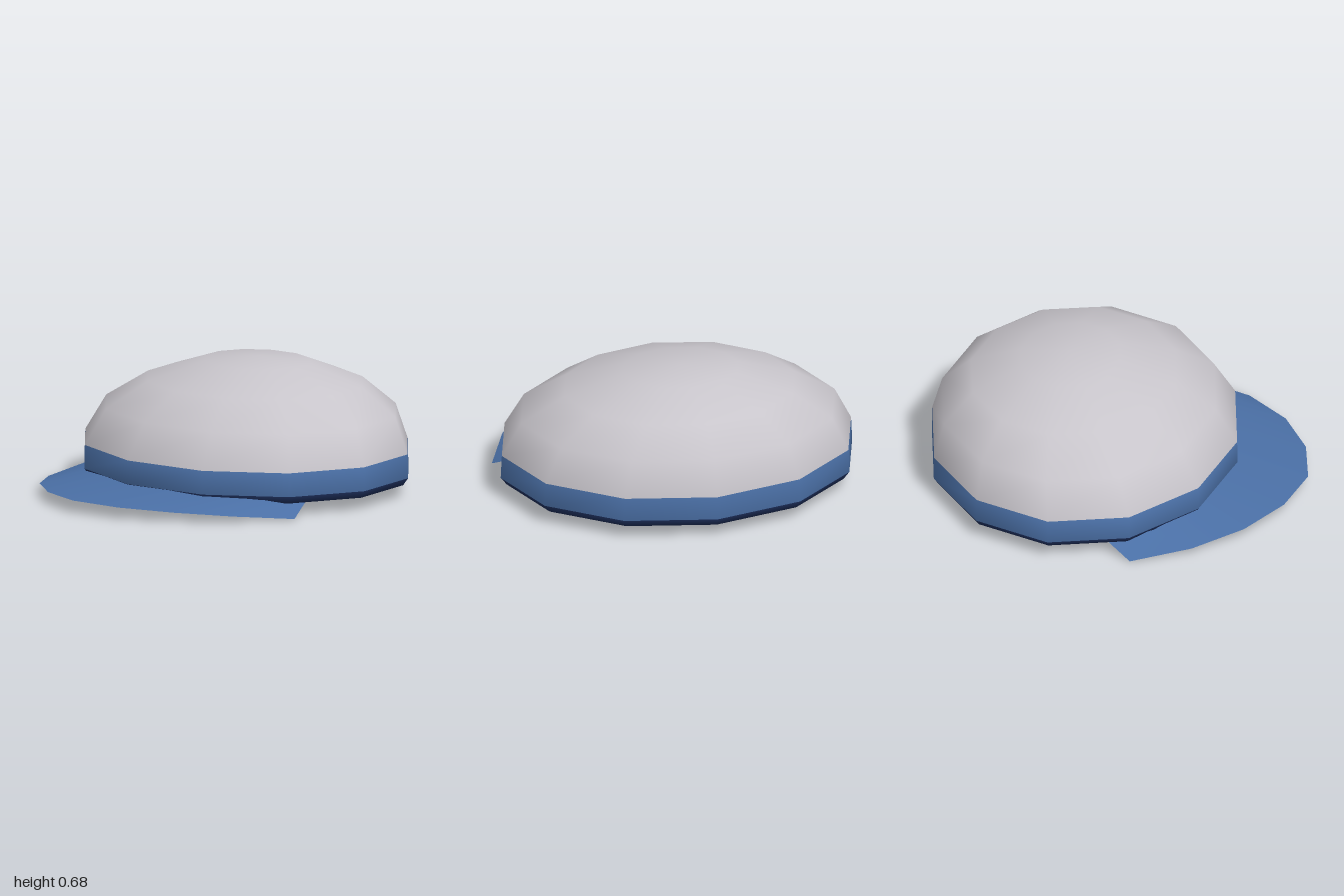
import * as THREE from 'three';

const mat = (name, color, side = THREE.FrontSide) => {
  const m = new THREE.MeshStandardMaterial({ color, side });
  m.name = name;
  return m;
};

// Joins rows of points (equal length) with quads; rows run along the surface.
function loft(rows, groupOf) {
  const n = rows[0].length;
  const geo = new THREE.BufferGeometry();
  geo.setAttribute('position', new THREE.Float32BufferAttribute(rows.flat(2), 3));
  const index = [];
  for (let r = 0; r < rows.length - 1; r++) {
    const start = index.length;
    for (let i = 0; i < n - 1; i++) {
      const a = r * n + i, b = a + 1, c = a + n, d = c + 1;
      index.push(a, b, d, a, d, c);
    }
    if (groupOf) geo.addGroup(start, index.length - start, groupOf(r));
  }
  geo.setIndex(index);
  geo.computeVertexNormals();
  return geo;
}

export function createModel() {
  const grey = mat('crownGrey', 0xc8c5cb);
  const blue = mat('bandBlue', 0x4a6fa5);
  const navy = mat('undersideNavy', 0x1c2d58);
  const brimBlue = mat('brimBlue', 0x4a6fa5, THREE.DoubleSide);
  brimBlue.color = blue.color;

  const cap = new THREE.Group();
  cap.name = 'cap';

  // Shell: elliptical 12-sided rings [y, x radius, z radius, z centre], bottom to top
  const SIDES = 12;
  const rings = [
    [0.065, 0, 0, -0.19],
    [0.065, 0.915, 0.785, -0.19],
    [0.105, 0.948, 0.812, -0.187],
    [0.23, 0.942, 0.81, -0.187],
    [0.415, 0.845, 0.727, -0.217],
    [0.555, 0.62, 0.545, -0.245],
    [0.655, 0.31, 0.265, -0.265],
    [0.675, 0, 0, -0.27],
  ];
  const rows = rings.map(([y, rx, rz, cz]) =>
    Array.from({ length: SIDES + 1 }, (_, i) => {
      const a = (i / SIDES) * Math.PI * 2;
      return [Math.sin(a) * rx, y, cz - Math.cos(a) * rz];
    }).reverse());
  const shellGeo = loft(rows, r => (r < 2 ? 0 : r === 2 ? 1 : 2));

  // Match normals across the ring seam and at the two poles
  const nrm = shellGeo.attributes.normal;
  rings.forEach(([, rx], r) => {
    const first = r * (SIDES + 1), last = first + SIDES;
    if (rx === 0) {
      for (let i = first; i <= last; i++) nrm.setXYZ(i, 0, r === 0 ? -1 : 1, 0);
      return;
    }
    const v = new THREE.Vector3().fromBufferAttribute(nrm, first)
      .add(new THREE.Vector3().fromBufferAttribute(nrm, last)).normalize();
    nrm.setXYZ(first, v.x, v.y, v.z);
    nrm.setXYZ(last, v.x, v.y, v.z);
  });
  const shell = new THREE.Mesh(shellGeo, [navy, blue, grey]);
  shell.name = 'crownBandAndUnderside';
  cap.add(shell);

  // Brim: thin curved sheet, half outlines mirrored about x = 0
  const mirror = half => [
    ...half.slice(1).reverse().map(([x, y, z]) => [-x, y, z]),
    ...half,
  ];
  const inner = mirror([
    [0, 0.105, 0.60], [0.26, 0.104, 0.56], [0.49, 0.097, 0.47],
    [0.69, 0.085, 0.32], [0.82, 0.065, 0.11],
  ]);
  const outer = mirror([
    [0, 0.065, 1], [0.28, 0.06, 0.93], [0.535, 0.05, 0.77],
    [0.74, 0.03, 0.535], [0.88, 0, 0.235],
  ]);
  const brim = new THREE.Mesh(loft([outer, inner]), brimBlue);
  brim.name = 'brim';
  cap.add(brim);

  return cap;
}
